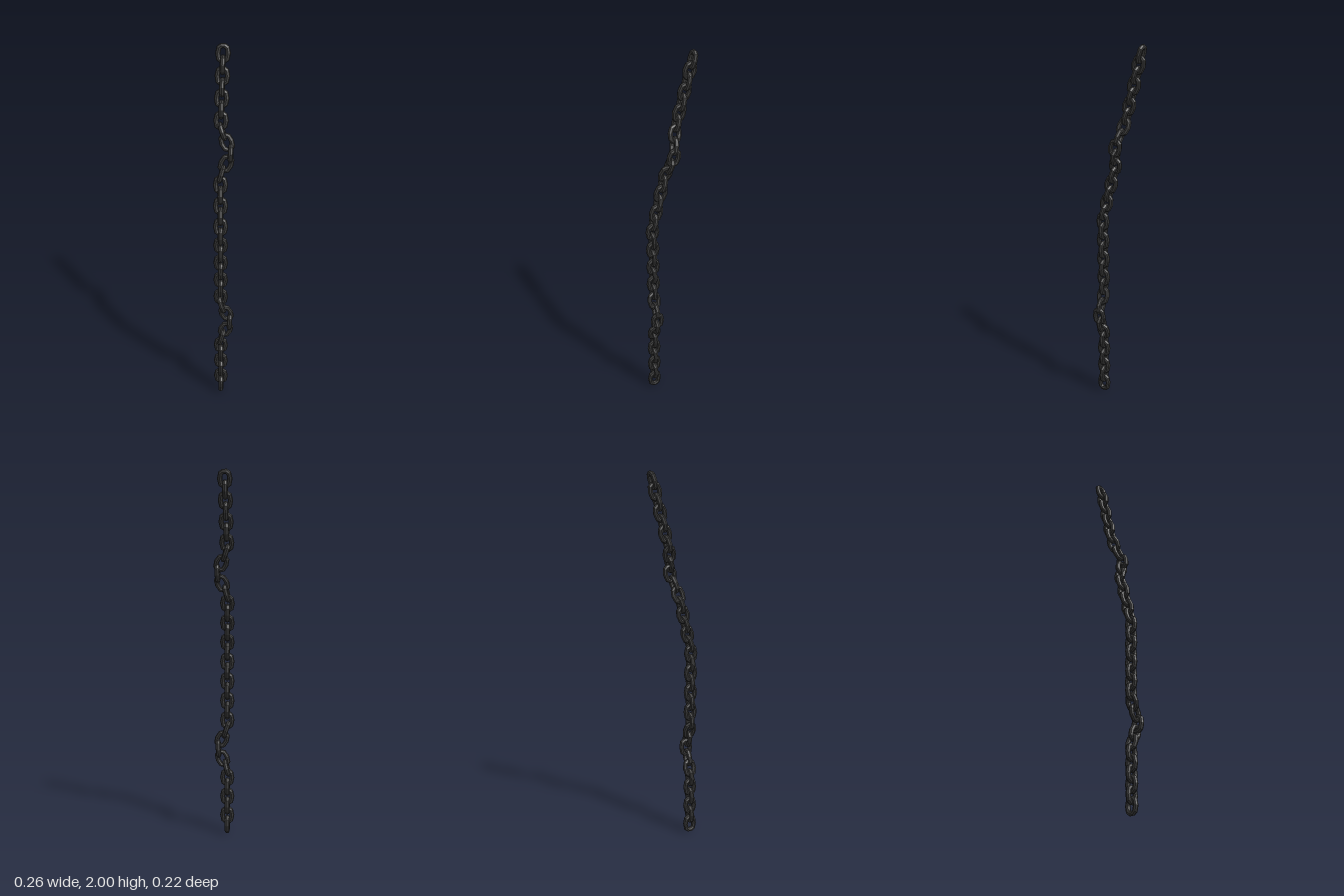
import * as THREE from 'three';

const LINKS = 36, STEP = 0.05426, START = 0.052;
const RADIUS = 0.026, WIRE = 0.0135, STRETCH = 0.0125;

// Hanging line of the chain: [y, x, z], with two sideways kinks
const PATH = [
  [-0.1, 0.06, 0.078], [0.37, 0.06, 0.078], [0.49, 0.096, 0.043], [0.61, 0.06, 0.078],
  [1.05, 0.062, 0.08], [1.345, 0.005, 0.03], [1.465, 0.022, -0.026],
  [1.59, -0.037, -0.01], [2.1, -0.124, -0.108],
];

function pointAt(y) {
  let i = 0;
  while (i < PATH.length - 2 && PATH[i + 1][0] < y) i++;
  const [y0, x0, z0] = PATH[i], [y1, x1, z1] = PATH[i + 1];
  const t = (y - y0) / (y1 - y0);
  return new THREE.Vector3(x0 + (x1 - x0) * t, y, z0 + (z1 - z0) * t);
}

// Oval link: a coarse torus whose two halves are pulled apart
function linkGeometry() {
  const geo = new THREE.TorusGeometry(RADIUS, WIRE, 8, 10);
  geo.rotateZ(Math.PI / 10 + Math.PI / 2 - Math.PI / 10);
  geo.rotateZ(Math.PI / 2);
  const p = geo.attributes.position;
  for (let i = 0; i < p.count; i++) {
    const y = p.getY(i);
    if (Math.abs(y) > 1e-5) p.setY(i, y + Math.sign(y) * STRETCH);
  }
  geo.computeVertexNormals();
  return geo;
}

export function createModel() {
  const group = new THREE.Group();
  group.name = 'chain';
  const iron = new THREE.MeshStandardMaterial({ color: 0x343434, flatShading: true });
  iron.name = 'dark iron';
  const geo = linkGeometry();
  const across = new THREE.Vector3(1, 0, -1).normalize();

  for (let i = 0; i < LINKS; i++) {
    const y = START + i * STEP;
    const up = pointAt(y + STEP / 2).sub(pointAt(y - STEP / 2)).normalize();
    // Alternate links are turned a quarter about the chain
    const face = new THREE.Vector3().crossVectors(across, up).normalize();
    const side = new THREE.Vector3().crossVectors(up, face);
    const basis = new THREE.Matrix4();
    if (i % 2) basis.makeBasis(side, up, face);
    else basis.makeBasis(face, up, side.clone().negate());
    const link = new THREE.Mesh(geo, iron);
    link.name = 'link' + (i + 1);
    link.quaternion.setFromRotationMatrix(basis);
    link.position.copy(pointAt(y));
    group.add(link);
  }
  return group;
}
